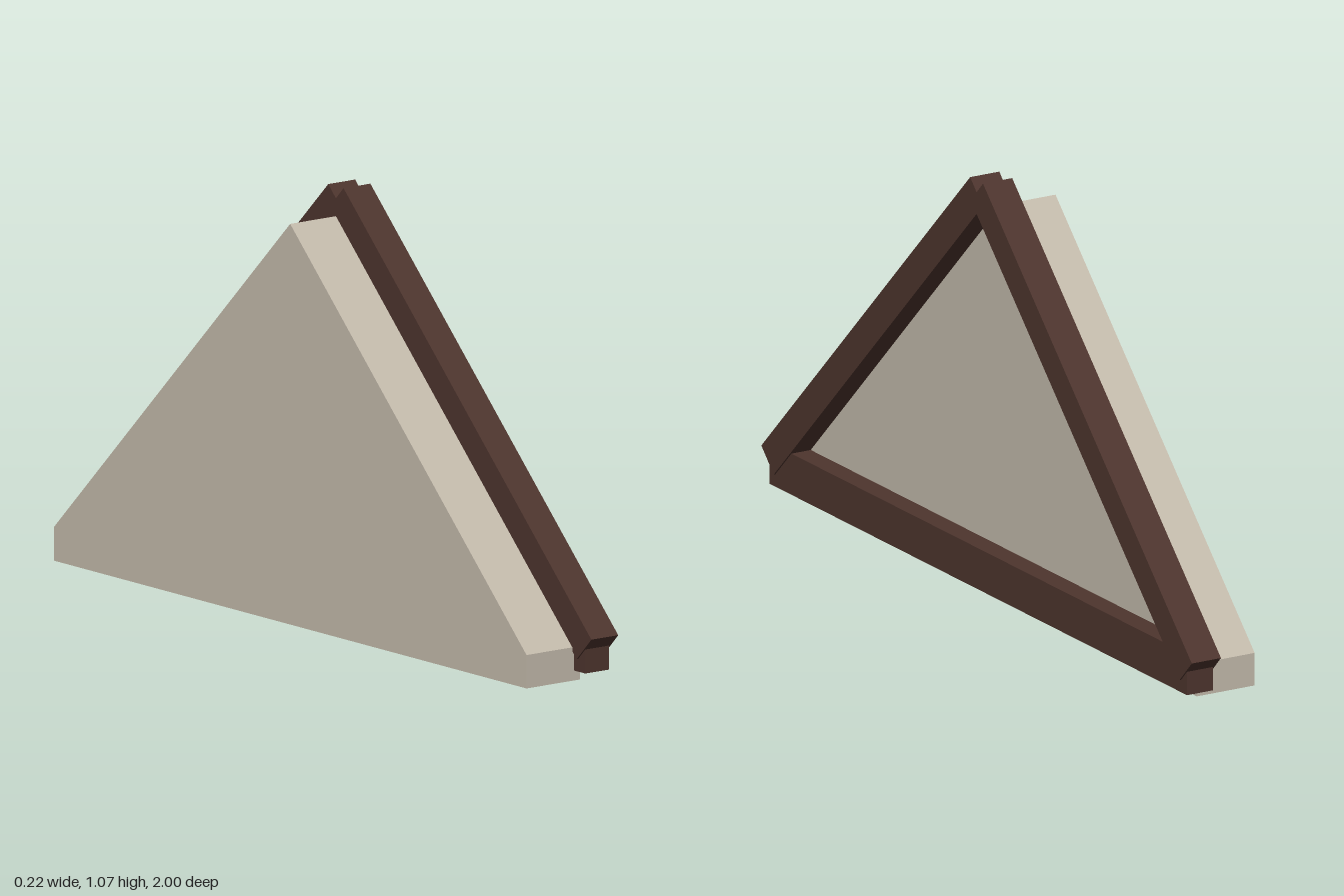
import * as THREE from 'three';

export function createModel() {
  const model = new THREE.Group();
  model.name = 'gableWall';

  const plaster = new THREE.MeshStandardMaterial({ color: 0xc4bbac });
  plaster.name = 'plaster';
  const timber = new THREE.MeshStandardMaterial({ color: 0x4e352e });
  timber.name = 'dark timber';

  // Wall panel: gable profile extruded in depth, then turned to face +x
  const depth = 0.165;
  const profile = new THREE.Shape([
    new THREE.Vector2(-0.925, 0),
    new THREE.Vector2(0.925, 0),
    new THREE.Vector2(0.925, 0.083),
    new THREE.Vector2(0, 0.995),
    new THREE.Vector2(-0.925, 0.083),
  ]);
  const wallGeometry = new THREE.ExtrudeGeometry(profile, { depth, bevelEnabled: false });
  wallGeometry.rotateY(Math.PI / 2);
  const wall = new THREE.Mesh(wallGeometry, plaster);
  wall.name = 'wallPanel';
  wall.position.x = -0.113;
  model.add(wall);

  // Timber beam running along z, tilted about x
  function addBeam(name, thickness, height, length, y, z, tilt) {
    const beam = new THREE.Mesh(new THREE.BoxGeometry(thickness, height, length), timber);
    beam.name = name;
    beam.position.set(0.07, y, z);
    beam.rotation.x = tilt;
    model.add(beam);
  }

  // Horizontal tie beam, slightly thinner than the rafters
  addBeam('tieBeam', 0.074, 0.105, 1.94, 0.0775, 0, 0);

  // Pair of rafters crossing at the peak
  for (const side of [1, -1]) {
    addBeam(side > 0 ? 'frontRafter' : 'backRafter',
      0.083, 0.082, 1.361, 0.563, side * 0.486, side * 0.7776);
  }

  return model;
}
